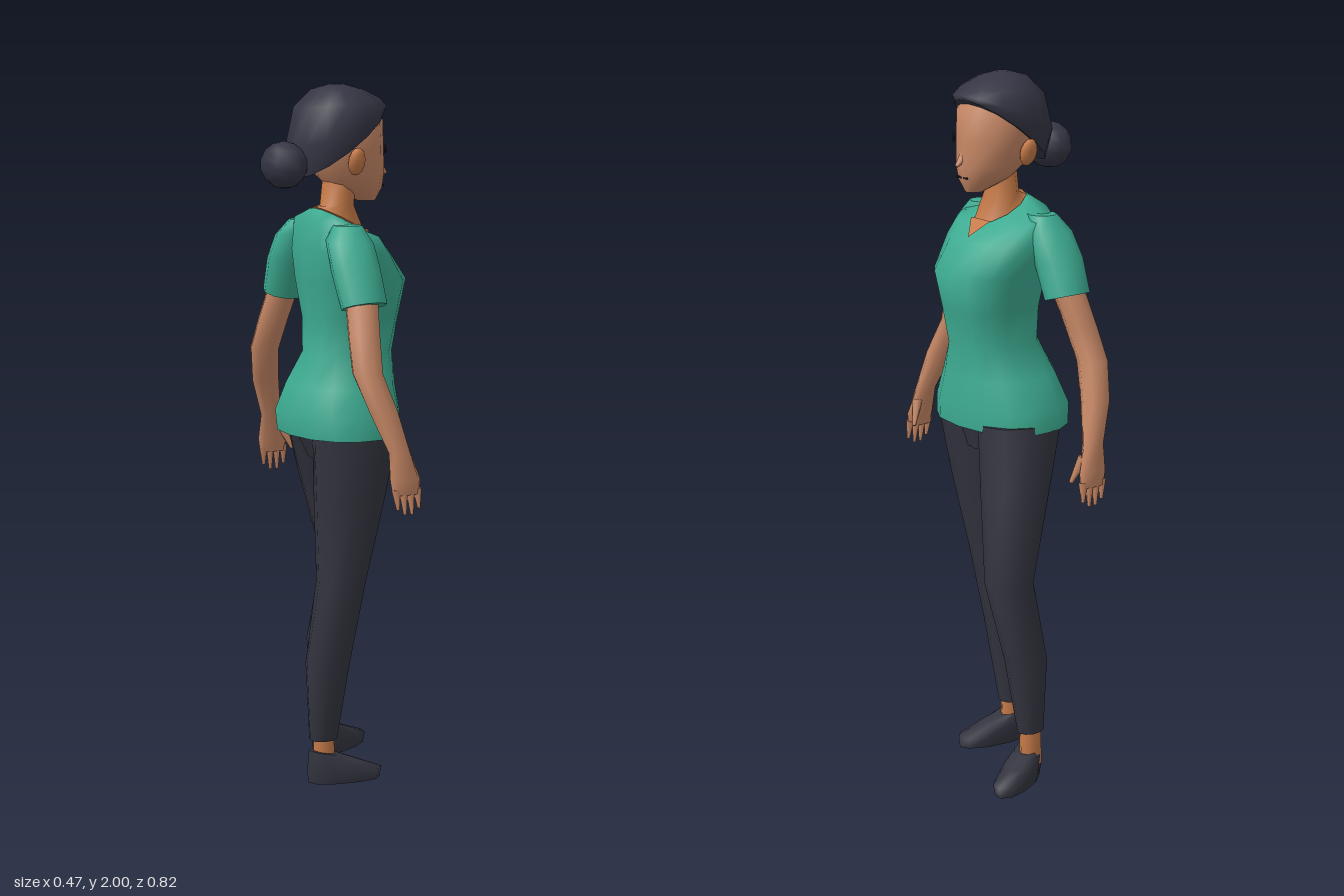
import * as THREE from 'three';

const mat = (name, color) => {
  const m = new THREE.MeshStandardMaterial({ color });
  m.name = name;
  return m;
};

// Closed loft through horizontal rings listed from the bottom up.
// ring: [cx, y, cz, rx, rz, slopeX, slopeZ]; power < 1 squares the section
function loft(rings, sides = 10, power = 1) {
  const pos = [], idx = [], n = rings.length;
  const soft = v => Math.sign(v) * Math.pow(Math.abs(v), power);
  for (const [cx, y, cz, rx, rz, sx = 0, sz = 0] of rings) {
    for (let i = 0; i < sides; i++) {
      const a = (i / sides) * Math.PI * 2;
      const dx = rx * soft(Math.cos(a)), dz = rz * soft(Math.sin(a));
      pos.push(cx + dx, y + sx * dx + sz * dz, cz + dz);
    }
  }
  for (let j = 0; j < n - 1; j++) {
    for (let i = 0; i < sides; i++) {
      const k = (i + 1) % sides, a = j * sides + i, b = j * sides + k;
      idx.push(a, a + sides, b, b, a + sides, b + sides);
    }
  }
  // caps with their own vertices, so the rims stay crisp
  [0, n - 1].forEach((j, top) => {
    const c = pos.length / 3, r = rings[j];
    pos.push(r[0], r[1], r[2]);
    for (let i = 0; i < sides; i++) pos.push(...pos.slice((j * sides + i) * 3, (j * sides + i) * 3 + 3));
    for (let i = 0; i < sides; i++) {
      const a = c + 1 + i, b = c + 1 + ((i + 1) % sides);
      if (top) idx.push(c, b, a); else idx.push(c, a, b);
    }
  });
  const g = new THREE.BufferGeometry();
  g.setAttribute('position', new THREE.Float32BufferAttribute(pos, 3));
  g.setIndex(idx);
  g.computeVertexNormals();
  return g;
}

export function createModel() {
  const model = new THREE.Group();
  const skin = mat('skin', 0xc68765);
  const warmSkin = mat('warm skin', 0xc57a48);
  const green = mat('shirt green', 0x3dab91);
  const pantsMat = mat('trouser charcoal', 0x343440);
  const hairMat = mat('hair dark', 0x353544);
  const ink = mat('eye dark', 0x17171d);

  const add = (name, geo, material, parent = model) => {
    const m = new THREE.Mesh(geo, material);
    m.name = name;
    parent.add(m);
    return m;
  };
  const ball = (name, p, s, material) => {
    const m = add(name, new THREE.SphereGeometry(1, 10, 7), material);
    m.position.set(...p);
    m.scale.set(...s);
    return m;
  };
  // Tapered cone between two points
  const spike = (name, a, b, r, material) => {
    const A = new THREE.Vector3(...a), B = new THREE.Vector3(...b), d = B.clone().sub(A);
    const m = add(name, new THREE.CylinderGeometry(r * 0.35, r, d.length(), 6), material);
    m.position.copy(A).add(B).multiplyScalar(0.5);
    m.quaternion.setFromUnitVectors(new THREE.Vector3(0, 1, 0), d.normalize());
  };

  // Shirt body, pinched at the waist, with a collar dipping to the front (+x)
  add('shirt', loft([
    [0, 1.02, -0.02, 0.155, 0.207], [-0.002, 1.08, -0.02, 0.162, 0.2],
    [0.005, 1.16, -0.016, 0.145, 0.162], [0.025, 1.25, -0.012, 0.125, 0.112],
    [0.033, 1.35, -0.01, 0.132, 0.128], [0.036, 1.455, -0.012, 0.151, 0.15],
    [0, 1.54, -0.01, 0.12, 0.165], [-0.012, 1.602, -0.01, 0.1, 0.155, -0.3],
    [-0.01, 1.62, -0.002, 0.078, 0.066, -0.5],
  ], 14, 0.85), green);

  // Neck and the small open V below it
  add('neck', loft([
    [-0.01, 1.624, -0.002, 0.077, 0.064, -0.5], [-0.015, 1.665, 0, 0.046, 0.053],
    [-0.005, 1.76, 0, 0.046, 0.05],
  ], 10), warmSkin);
  const vNeck = new THREE.BufferGeometry();
  vNeck.setAttribute('position', new THREE.Float32BufferAttribute(
    [0.066, 1.597, 0.034, 0.113, 1.553, -0.012, 0.066, 1.597, -0.05], 3));
  vNeck.computeVertexNormals();
  const vMat = warmSkin.clone();
  vMat.side = THREE.DoubleSide;
  add('openNeckline', vNeck, vMat);

  // Sleeves, arms and hands, mirrored across z
  for (const s of [1, -1]) {
    const side = s > 0 ? 'right' : 'left';
    const Z = z => s * z - (s < 0 ? 0.01 : 0);
    const place = rings => rings.map(([x, y, z, rx, rz, sx = 0, sz = 0]) => [x, y, Z(z), rx, rz, sx, s * sz]);
    add(side + 'Sleeve', loft(place([
      [-0.055, 1.402, 0.228, 0.065, 0.058, 0, 0.3], [-0.058, 1.5, 0.185, 0.07, 0.064, 0, 0.1],
      [-0.055, 1.575, 0.145, 0.068, 0.064, 0, -0.1], [-0.05, 1.618, 0.125, 0.04, 0.04],
    ]), 10), green);
    add(side + 'Arm', loft(place([
      [-0.014, 0.905, 0.388, 0.042, 0.014], [-0.016, 0.945, 0.386, 0.047, 0.02],
      [-0.027, 1.02, 0.373, 0.033, 0.024], [-0.06, 1.13, 0.343, 0.043, 0.036],
      [-0.085, 1.23, 0.3, 0.044, 0.042], [-0.075, 1.32, 0.264, 0.046, 0.043],
      [-0.058, 1.44, 0.215, 0.048, 0.045],
    ]), 8), skin);
    for (let i = 0; i < 4; i++) {
      const x = -0.046 + i * 0.022;
      spike(side + 'Finger', [x, 0.92, Z(0.388)], [x + 0.004, i % 3 ? 0.85 : 0.865, Z(0.393)], 0.013, skin);
    }
    spike(side + 'Thumb', [0.005, 0.985, Z(0.372)], [0.033, 0.915, Z(0.352)], 0.016, skin);
  }

  // Trousers: hips and two legs, the left one stepping forward
  add('hips', loft([[0.01, 0.945, -0.02, 0.09, 0.11], [0, 1.06, -0.02, 0.13, 0.18]], 12), pantsMat);
  add('rightTrouserLeg', loft([
    [-0.07, 0.13, 0.018, 0.042, 0.036], [-0.067, 0.36, 0.04, 0.067, 0.056],
    [-0.03, 0.6, 0.052, 0.071, 0.072], [-0.01, 0.85, 0.066, 0.106, 0.094], [0, 1.04, 0.08, 0.13, 0.1],
  ], 10), pantsMat);
  add('leftTrouserLeg', loft([
    [0.07, 0.15, -0.237, 0.041, 0.031], [0.07, 0.36, -0.215, 0.063, 0.056],
    [0.125, 0.6, -0.207, 0.07, 0.066], [0.06, 0.85, -0.154, 0.102, 0.09], [0.02, 1.04, -0.125, 0.128, 0.1],
  ], 10), pantsMat);

  // Ankles and slip-on shoes
  const feet = [
    ['right', [-0.068, 0.018], [-0.01, 0.036], -0.2],
    ['left', [0.07, -0.237], [0.13, -0.252], 0.42],
  ];
  for (const [side, ankle, shoe, yaw] of feet) {
    add(side + 'Ankle', loft([
      [ankle[0], 0.05, ankle[1], 0.035, 0.03], [ankle[0], 0.17, ankle[1], 0.032, 0.026],
    ], 8), warmSkin);
    const m = add(side + 'Shoe', loft([
      [0, 0.004, 0, 0.108, 0.042], [0, 0.035, 0, 0.112, 0.048],
      [-0.035, 0.07, 0, 0.075, 0.043, -0.1], [-0.062, 0.093, 0, 0.045, 0.034, -0.2],
    ], 10, 0.9), pantsMat);
    m.position.set(shoe[0], 0, shoe[1]);
    m.rotation.y = yaw;
  }

  // Face with a pointed chin
  add('head', loft([
    [0.078, 1.675, 0.003, 0.027, 0.022], [0.045, 1.71, 0.002, 0.076, 0.062],
    [0.025, 1.75, 0, 0.1, 0.09], [0.01, 1.82, -0.005, 0.112, 0.112],
    [0.003, 1.9, -0.006, 0.117, 0.112], [-0.01, 1.96, -0.006, 0.08, 0.08],
  ], 14), skin);
  spike('nose', [0.112, 1.775, 0.006], [0.139, 1.75, 0.006], 0.014, skin);
  for (const s of [1, -1]) {
    const eye = ball('eye', [0.107, 1.82, 0.006 + s * 0.053], [0.011, 0.013, 0.004], ink);
    eye.rotation.y = Math.PI / 2 - s * 0.5;
    const ear = ball('ear', [-0.012, 1.79, -0.006 + s * 0.115], [0.026, 0.04, 0.018], warmSkin);
    ear.rotation.x = s * 0.3;
  }
  const mouth = add('mouth', new THREE.BoxGeometry(0.008, 0.005, 0.045), ink);
  mouth.position.set(0.117, 1.717, 0.005);

  // Hair cap sweeping up from the nape to the forehead, and a low bun
  add('hair', loft([
    [-0.005, 1.838, -0.007, 0.13, 0.12, 0.74], [-0.013, 1.885, -0.007, 0.143, 0.137, 0.42],
    [-0.013, 1.95, -0.007, 0.12, 0.116, 0.12], [-0.013, 1.987, -0.006, 0.07, 0.066],
    [-0.013, 2.0, -0.006, 0.02, 0.02],
  ], 14), hairMat);
  ball('bun', [-0.18, 1.78, -0.003], [0.06, 0.066, 0.083], hairMat);

  return model;
}
